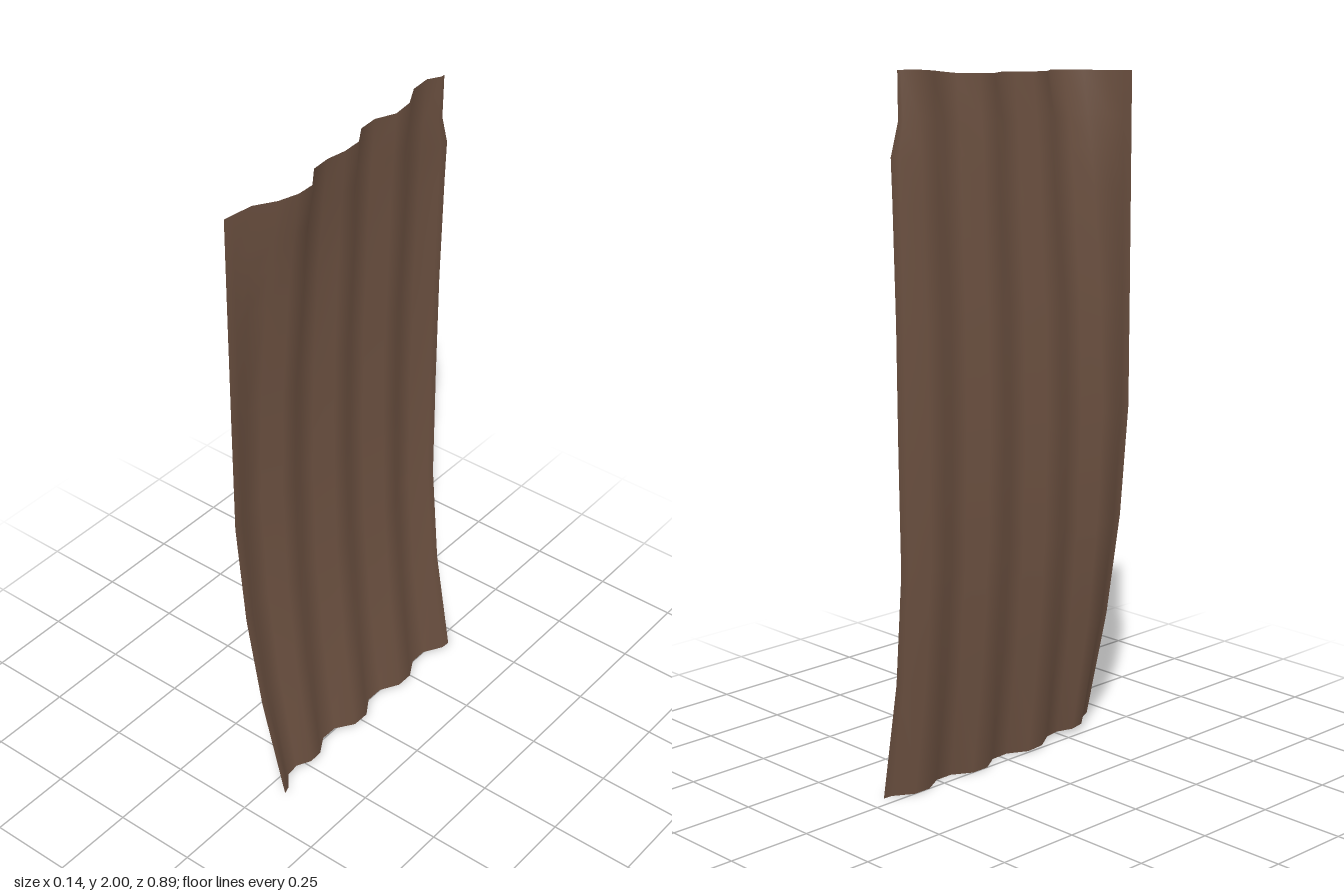
import * as THREE from 'three';

// Columns run from the front edge (+z) to the back edge (-z).
const colZ = [0.447, 0.417, 0.361, 0.306, 0.25, 0.195, 0.139, 0.083, 0.028,
  -0.028, -0.083, -0.139, -0.195, -0.25, -0.306, -0.361, -0.417, -0.445];
const CREST = -0.042, TROUGH = -0.072;
const isTrough = (c) => c >= 1 && c <= 16 && Math.floor((c - 2 + 4) / 2) % 2 === 0;
// How far each column bends towards +x at the top and bottom ends.
const topBend = [0.002, 0.007, 0.047, 0.085, 0.075, 0.077, 0.062, 0.06, 0.042,
  0.042, 0.037, 0.036, 0.034, 0.034, 0.035, 0.036, 0.027, 0.027];
const bottomBend = [0.11, 0.102, 0.096, 0.09, 0.08, 0.077, 0.073, 0.072, 0.077,
  0.077, 0.072, 0.072, 0.074, 0.074, 0.072, 0.072, 0.075, 0.077];
// Row heights as fractions, top to bottom; extra rows form the torn back corner.
const rowV = [1, 0.935, 0.89, 0.83, 0.67, 0.5, 0.33, 0.17, 0];

function topHeight(z) {
  return z > -0.2 ? 1.978 - (z + 0.2) * 0.042
    : z > -0.36 ? 1.978 + (-0.2 - z) * 0.137 : 1.998;
}

function createSheetGeometry() {
  const nc = colZ.length, nr = rowV.length;
  const geo = new THREE.PlaneGeometry(1, 1, nc - 1, nr - 1);
  const pos = geo.attributes.position;
  for (let r = 0; r < nr; r++) {
    for (let c = 0; c < nc; c++) {
      const v = rowV[r], t = Math.abs(v - 0.5) * 2, upper = v > 0.5;
      let z = colZ[c];
      const x = (isTrough(c) ? TROUGH : CREST) + (upper ? topBend : bottomBend)[c] * t * t;
      const bottomY = Math.max(0, z) * 0.045;
      const y = bottomY + (topHeight(z) - bottomY) * v;
      if (!upper) {
        // front edge narrows towards the floor, back edge is slightly hollow
        z -= 0.05 * t * Math.max(0, (z - 0.2) / 0.247);
        z += 0.015 * Math.sin(Math.PI * t) * Math.max(0, (-z - 0.2) / 0.245);
      }
      // torn notch in the upper back corner
      if (r < 2 && c === nc - 1) z = r === 0 ? -0.41 : -0.415;
      if (r < 2 && c === nc - 2) z = -0.398;
      pos.setXYZ(r * nc + c, x, y, z);
    }
  }
  geo.computeVertexNormals();
  return geo;
}

export function createModel() {
  const group = new THREE.Group();
  group.name = 'corrugatedSheet';
  const rustBrown = new THREE.MeshStandardMaterial({ color: 0x6b5040, side: THREE.DoubleSide });
  rustBrown.name = 'rust brown';
  const sheet = new THREE.Mesh(createSheetGeometry(), rustBrown);
  sheet.name = 'bentSheet';
  group.add(sheet);
  return group;
}
